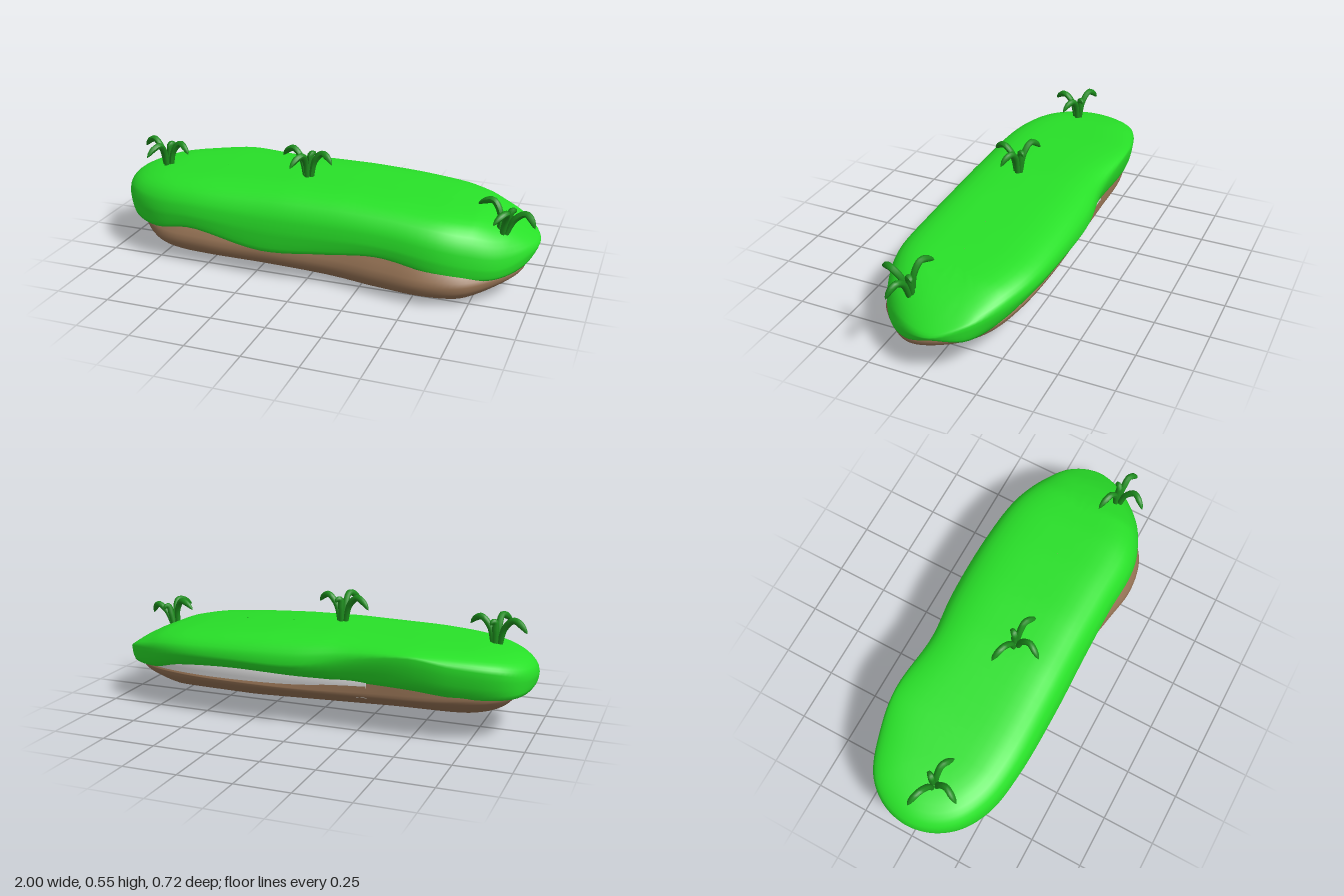
import * as THREE from 'three';

const { clamp, smoothstep } = THREE.MathUtils;

const mat = (name, color, side = THREE.FrontSide) => {
  const m = new THREE.MeshStandardMaterial({ color, side });
  m.name = name;
  return m;
};

// Piecewise linear lookup in [position, value] pairs
function lookup(pairs, p) {
  for (let i = 1; i < pairs.length; i++) {
    const [a, va] = pairs[i - 1], [b, vb] = pairs[i];
    if (p <= b) return va + (vb - va) * clamp((p - a) / (b - a), 0, 1);
  }
  return pairs[pairs.length - 1][1];
}

// Smooth closed outline from [x, z, beltY, edgeY] points
const SEG = 128;
function outline(points) {
  const curve = new THREE.CatmullRomCurve3(points.map(([x, z, b]) => new THREE.Vector3(x, b, z)), true);
  const edge = new THREE.CatmullRomCurve3(points.map(([x, z, , e]) => new THREE.Vector3(x, e, z)), true);
  return Array.from({ length: SEG }, (_, j) => {
    const p = curve.getPoint(j / SEG);
    return { x: p.x, z: p.z, belt: p.y, edge: edge.getPoint(j / SEG).y };
  });
}

// Shrink the outline towards a central spine; scaleAt and heightAt work per point
function ring(line, scaleAt, heightAt) {
  return line.map((p) => {
    const s = scaleAt(p), cx = clamp(p.x, -0.65, 0.65);
    const x = cx + (p.x - cx) * s, z = p.z * s;
    return [x, heightAt(p, x, z), z];
  });
}

// Skin rings from bottom to top
function loft(rings) {
  const idx = [];
  for (let i = 0; i < rings.length - 1; i++) {
    for (let j = 0; j < SEG; j++) {
      const k = (j + 1) % SEG;
      const a = i * SEG + j, b = i * SEG + k, c = a + SEG, d = b + SEG;
      idx.push(a, b, d, a, d, c);
    }
  }
  const g = new THREE.BufferGeometry();
  g.setAttribute('position', new THREE.Float32BufferAttribute(rings.flat(2), 3));
  g.setIndex(idx);
  g.computeVertexNormals();
  return g;
}

const STEPS = [1, 0.985, 0.96, 0.92, 0.87, 0.8, 0.7, 0.58, 0.44, 0.3, 0.15, 0];
const dome = (s, power) => Math.sqrt(1 - s ** power);

// Turf: lip tucked under, bulging side, rounded top
const TURF = [
  [1, -0.05, 0.22, 0.2], [0.93, -0.18, 0.26, 0.185], [0.8, -0.265, 0.28, 0.185], [0.62, -0.33, 0.3, 0.225],
  [0.36, -0.357, 0.305, 0.245], [0.03, -0.355, 0.305, 0.24], [-0.2, -0.325, 0.34, 0.235], [-0.5, -0.337, 0.38, 0.23],
  [-0.68, -0.31, 0.35, 0.21], [-0.88, -0.235, 0.32, 0.2], [-0.97, -0.13, 0.29, 0.21], [-1, 0, 0.28, 0.23],
  [-0.97, 0.12, 0.27, 0.21], [-0.89, 0.22, 0.27, 0.18], [-0.75, 0.295, 0.26, 0.17], [-0.55, 0.33, 0.27, 0.2],
  [-0.2, 0.335, 0.25, 0.14], [0.1, 0.33, 0.25, 0.165], [0.35, 0.33, 0.25, 0.19], [0.6, 0.333, 0.22, 0.15],
  [0.75, 0.29, 0.19, 0.125], [0.87, 0.215, 0.17, 0.12], [0.97, 0.08, 0.2, 0.15],
];
const TURF_TOP = [[-1, 0.37], [-0.9, 0.38], [-0.75, 0.395], [-0.5, 0.41], [-0.1, 0.422], [0.15, 0.418],
  [0.4, 0.403], [0.6, 0.385], [0.75, 0.362], [0.88, 0.315], [1, 0.25]];

function turfGeometry() {
  const line = outline(TURF);
  const rim = (p) => 0.97 - 0.11 * smoothstep(-p.z, 0.15, 0.3);
  const lip = [0.8, 0.95].map((s) => ring(line, (p) => rim(p) * s, (p) => p.edge + (1 - s) * 0.08));
  const side = [[0, 0], [0.4, 0.2], [0.7, 0.45], [0.9, 0.75]]
    .map(([s, t]) => ring(line, (p) => rim(p) + (1 - rim(p)) * s, (p) => p.edge + (p.belt - p.edge) * t));
  const top = STEPS.map((s) =>
    ring(line, () => s, (p, x) => p.belt + (lookup(TURF_TOP, x) - p.belt) * dome(s, 5)));
  return loft([...lip, ...side, ...top]);
}

// Soil: open bowl with the underside rising towards the back, heavy front corner
const SOIL = [
  [0.955, 0, 0.15, 0.188], [0.9, -0.13, 0.165, 0.183], [0.8, -0.21, 0.17, 0.18], [0.6, -0.265, 0.17, 0.18],
  [0.3, -0.287, 0.17, 0.183], [0, -0.285, 0.17, 0.195], [-0.3, -0.285, 0.18, 0.235], [-0.6, -0.28, 0.19, 0.26],
  [-0.8, -0.225, 0.2, 0.26], [-0.89, -0.12, 0.2, 0.26], [-0.91, 0.03, 0.2, 0.26], [-0.87, 0.17, 0.18, 0.25],
  [-0.75, 0.265, 0.13, 0.24], [-0.5, 0.3, 0.12, 0.24], [-0.2, 0.285, 0.11, 0.24], [0.1, 0.285, 0.1, 0.24],
  [0.35, 0.328, 0.1, 0.24], [0.55, 0.357, 0.1, 0.23], [0.72, 0.322, 0.1, 0.2], [0.84, 0.225, 0.11, 0.18],
  [0.94, 0.1, 0.13, 0.18],
];
const BOTTOM_Z = [[-0.3, 0.13], [-0.2, 0.09], [-0.1, 0.06], [0, 0.035], [0.1, 0.008], [0.2, -0.007], [0.35, -0.007]];
const BOTTOM_X = [[-0.9, 0.03], [-0.4, 0.025], [0.3, 0], [0.7, 0.005], [1, 0.05]];
const END_ROUNDING = [[-0.9, 2.2], [-0.6, 4], [0.75, 4], [0.95, 2.2]];

function soilGeometry(line) {
  const base = (x, z) => lookup(BOTTOM_Z, z) + lookup(BOTTOM_X, x);
  const under = [...STEPS].reverse().map((s) => ring(line, () => s, (p, x, z) =>
    p.belt - Math.max(0, p.belt - base(x, z)) * dome(s, lookup(END_ROUNDING, p.x))));
  // The front leans in beneath the turf, the back stays upright
  const upper = [[0.98, 0.2], [0.93, 0.42], [0.87, 0.65], [0.78, 1]].map(([s, t]) =>
    ring(line, (p) => 1 - (1 - s) * Math.max(0.06, smoothstep(p.z, -0.05, 0.15)),
      (p) => p.belt + (p.edge - p.belt) * t));
  return loft([...under, ...upper]);
}

// Pale core wall showing between soil and turf along the back
function coreGeometry(line) {
  const back = line.map((p) => ({ ...p, x: clamp(p.x, -0.3, 0.87), z: Math.min(p.z, 0.03) }));
  return loft([[0.97, 0.165], [0.985, 0.2], [1, 0.25], [0.9, 0.275]]
    .map(([s, y]) => ring(back, () => s, () => y)));
}

// Blade: tapered tube arching over a peak to a drooping tip
function bladeGeometry(base, peak, tip) {
  const b = new THREE.Vector3(...base), p = new THREE.Vector3(...peak), t = new THREE.Vector3(...tip);
  const knee = new THREE.Vector3(b.x + (p.x - b.x) * 0.35, p.y * 0.65, b.z + (p.z - b.z) * 0.35);
  const bend = new THREE.Vector3().lerpVectors(p, t, 0.55).add(new THREE.Vector3(0, 0.01, 0));
  const curve = new THREE.CatmullRomCurve3([b, knee, p, bend, t]);
  const n = 20, sides = 8;
  const g = new THREE.TubeGeometry(curve, n, 0.015, sides);
  const pos = g.attributes.position, v = new THREE.Vector3();
  for (let i = 0; i <= n; i++) {
    const c = curve.getPointAt(i / n);
    const r = lookup([[0, 0.8], [0.5, 1], [0.8, 1], [0.93, 0.65], [1, 0.05]], i / n);
    for (let j = 0; j <= sides; j++) {
      const k = i * (sides + 1) + j;
      v.fromBufferAttribute(pos, k).sub(c).multiplyScalar(r).add(c);
      pos.setXYZ(k, v.x, v.y, v.z);
    }
  }
  g.computeVertexNormals();
  return g;
}

const BLADES = [
  [[-0.012, -0.02, 0], [-0.078, 0.118, -0.022], [-0.142, 0.07, -0.045]],
  [[0.012, -0.02, 0], [0.072, 0.118, 0.008], [0.128, 0.077, 0.035]],
  [[0, -0.02, 0.012], [-0.005, 0.118, 0.075], [-0.038, 0.075, 0.138]],
  [[0.004, -0.02, -0.008], [0.008, 0.1, -0.01], [0.024, 0.09, -0.034]],
];

export function createModel() {
  const model = new THREE.Group();
  model.name = 'grassyPlatform';
  const grass = mat('grass green', 0x28e028, THREE.DoubleSide);
  const soil = mat('soil brown', 0x957254, THREE.DoubleSide);
  const pale = mat('pale core', 0xd8d8d8, THREE.DoubleSide);
  const leaf = mat('blade green', 0x1c8c1c, THREE.DoubleSide);
  const add = (name, geometry, material, parent = model) => {
    const m = new THREE.Mesh(geometry, material);
    m.name = name;
    parent.add(m);
  };
  const soilLine = outline(SOIL);
  add('soil', soilGeometry(soilLine), soil);
  add('core', coreGeometry(soilLine), pale);
  add('turf', turfGeometry(), grass);

  // Three tufts, the last leaning down the slope
  const blades = BLADES.map((b) => bladeGeometry(...b));
  [[-0.8, 0.383, 0.035, 0], [-0.07, 0.422, 0.045, 0], [0.855, 0.3, 0.11, -0.22]].forEach(([x, y, z, lean], i) => {
    const tuft = new THREE.Group();
    tuft.name = `grassTuft${i + 1}`;
    blades.forEach((g, k) => add(`blade${k + 1}`, g, leaf, tuft));
    tuft.position.set(x, y, z);
    tuft.rotation.z = lean;
    model.add(tuft);
  });
  return model;
}
